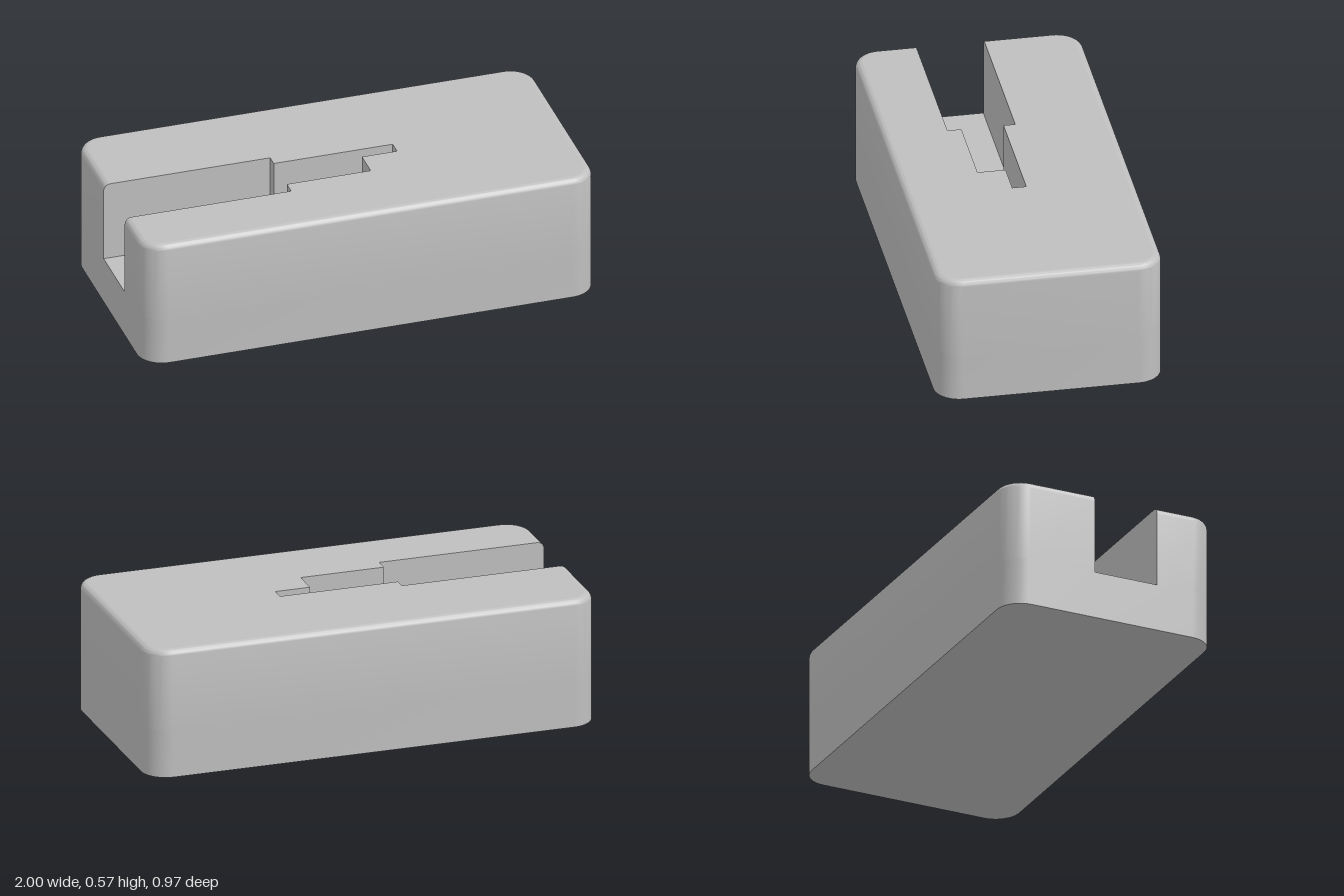
import * as THREE from 'three';
import { toCreasedNormals } from 'three/addons/utils/BufferGeometryUtils.js';

const HALF_X = 1, HALF_Z = 0.485, HEIGHT = 0.57, CORNER = 0.11, BEVEL = 0.03;
const FLOOR = 0.21, THIN_FLOOR = 0.3;

// Stepped slot in plan as [x, -z], open at the -x end
const slot = (inset) => [
  [-HALF_X + inset, 0.08], [-0.265, 0.08], [-0.265, 0.03], [0.26, 0.03], [0.26, -0.03],
  [0.105, -0.03], [0.105, -0.15], [-0.265, -0.15], [-0.265, -0.21], [-HALF_X + inset, -0.21],
];

// Rounded rectangle in plan, counter-clockwise from above, optionally cut by the slot
function outline(inset, cut) {
  const points = [], steps = 12;
  [[1, 1], [-1, 1], [-1, -1], [1, -1]].forEach(([sx, sv], corner) => {
    if (corner === 2 && cut) points.push(...slot(inset));
    for (let i = 0; i <= steps; i++) {
      const a = (corner + i / steps) * Math.PI / 2, r = CORNER - inset;
      points.push([
        sx * (HALF_X - CORNER) + r * Math.cos(a),
        sv * (HALF_Z - CORNER) + r * Math.sin(a),
      ]);
    }
  });
  return points;
}

function geometryFrom(positions, index) {
  const g = new THREE.BufferGeometry();
  g.setAttribute('position', new THREE.Float32BufferAttribute(positions, 3));
  g.setIndex(index);
  return g;
}

// Walls joining outlines stacked at rising heights
function walls(rings) {
  const n = rings[0].points.length, positions = [], index = [];
  rings.forEach(({ points, y }) => points.forEach(([x, v]) => positions.push(x, y, -v)));
  for (let r = 0; r < rings.length - 1; r++) {
    for (let i = 0; i < n; i++) {
      const a = r * n + i, b = r * n + (i + 1) % n;
      index.push(a, b, b + n, a, b + n, a + n);
    }
  }
  return toCreasedNormals(geometryFrom(positions, index), 0.6);
}

// Flat face filling an outline, facing up or down
function cap(points, y, up = true) {
  const contour = points.map(([x, v]) => new THREE.Vector2(x, v));
  const faces = THREE.ShapeUtils.triangulateShape(contour, []);
  const index = faces.flatMap(([a, b, c]) => (up ? [a, b, c] : [a, c, b]));
  const g = geometryFrom(points.flatMap(([x, v]) => [x, y, -v]), index);
  g.computeVertexNormals();
  return g;
}

export function createModel() {
  const model = new THREE.Group();
  model.name = 'slottedBlock';
  const grey = new THREE.MeshStandardMaterial({ color: 0xbfbfbf });
  grey.name = 'plainGrey';
  const add = (name, geometry) => {
    const mesh = new THREE.Mesh(geometry, grey);
    mesh.name = name;
    model.add(mesh);
    return mesh;
  };

  // Solid lower block
  const base = outline(0, false);
  add('underside', cap(base, 0, false));
  add('lowerWalls', walls([{ points: base, y: 0 }, { points: base, y: FLOOR }]));

  // Upper block with slot walls and a rounded outer top edge
  const rings = [{ points: outline(0, true), y: FLOOR }];
  for (let i = 0; i <= 8; i++) {
    const a = i / 8 * Math.PI / 2;
    rings.push({
      points: outline(BEVEL * (1 - Math.cos(a)), true),
      y: HEIGHT - BEVEL + BEVEL * Math.sin(a),
    });
  }
  add('upperWalls', walls(rings));
  add('topFace', cap(outline(BEVEL, true), HEIGHT));

  // Slot floor and the raised floor of its narrow branch
  add('slotFloor', cap(slot(0).reverse(), FLOOR));
  const step = add('narrowSlotFloor', new THREE.BoxGeometry(0.525, THIN_FLOOR - FLOOR, 0.06));
  step.position.set(-0.0025, (THIN_FLOOR + FLOOR) / 2, 0);

  return model;
}
